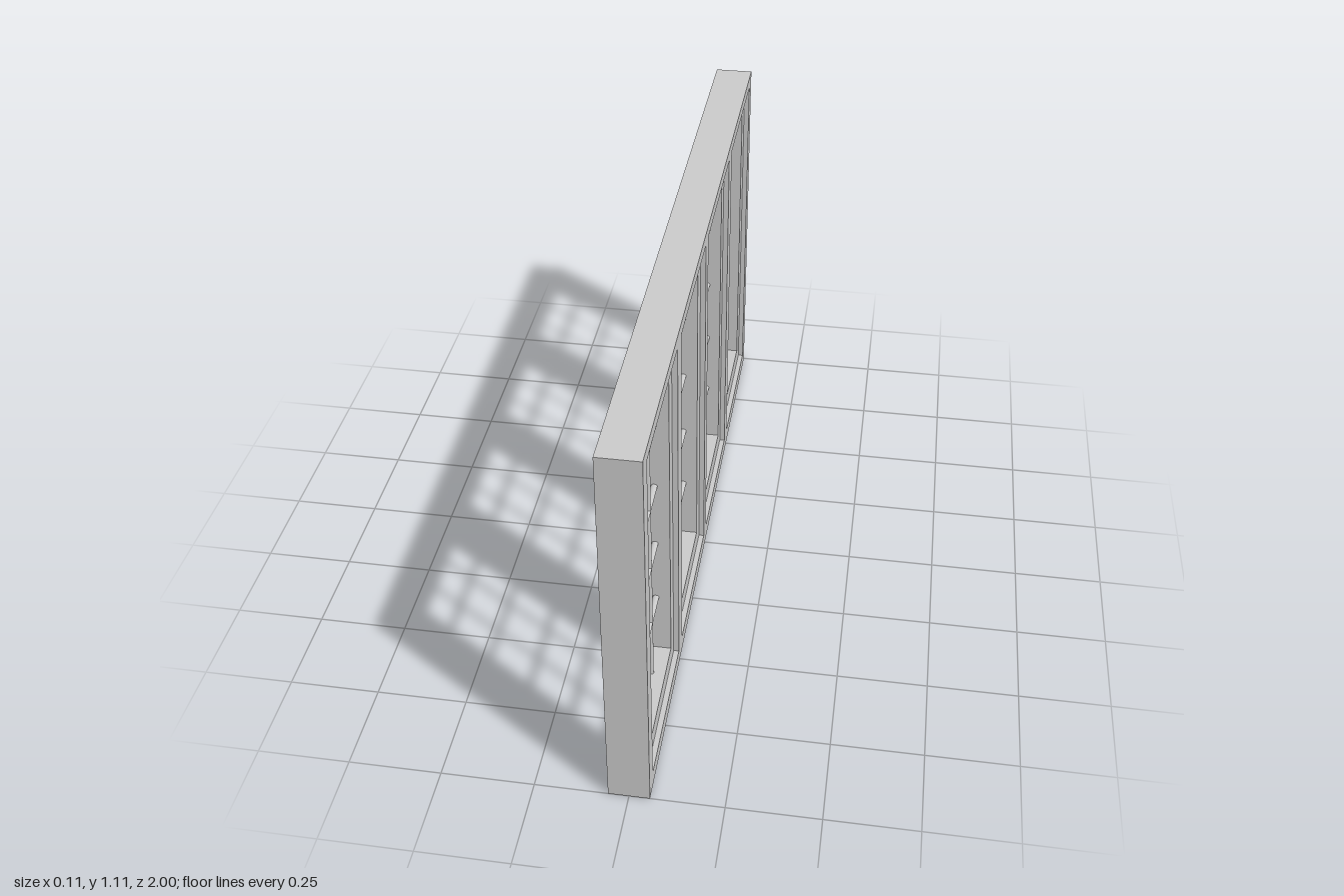
import * as THREE from 'three';

const material = new THREE.MeshStandardMaterial({ color: 0xcccccc });

function rectPath(target, [z0, z1], [y0, y1]) {
  target.moveTo(z0, y0);
  target.lineTo(z1, y0);
  target.lineTo(z1, y1);
  target.lineTo(z0, y1);
  target.closePath();
  return target;
}

// Rectangular slab in the z-y plane with one or more rectangular openings, centred on x = 0
function openSlab(name, zSpan, ySpan, holes, depth) {
  const shape = rectPath(new THREE.Shape(), zSpan, ySpan);
  for (const [hz, hy] of holes) shape.holes.push(rectPath(new THREE.Path(), hz, hy));
  const geometry = new THREE.ExtrudeGeometry(shape, { depth, bevelEnabled: false });
  geometry.translate(0, 0, -depth / 2).rotateY(-Math.PI / 2);
  const mesh = new THREE.Mesh(geometry, material);
  mesh.name = name;
  return mesh;
}

// Slim oval rod, deeper through the window than it is wide
function rod(name, length, width, depth, horizontal) {
  const geometry = new THREE.CylinderGeometry(0.5, 0.5, length, 16);
  geometry.scale(depth, 1, width);
  if (horizontal) geometry.rotateX(Math.PI / 2);
  const mesh = new THREE.Mesh(geometry, material);
  mesh.name = name;
  return mesh;
}

export function createModel() {
  const model = new THREE.Group();
  model.name = 'window';

  const frameDepth = 0.11, sashDepth = 0.08;
  const sashY = [0.046, 1.076], glassY = [0.1, 1.064];

  // Two panes on the +z side, mirrored to the -z side
  const half = [
    { sash: [0.515, 0.952], glass: [0.56, 0.9], bars: [0.659, 0.776] },
    { sash: [0.022, 0.457], glass: [0.072, 0.411], bars: [0.182, 0.3] },
  ];
  const flip = ([a, b]) => [-b, -a];
  const panes = half.concat(half.map((p) => (
    { sash: flip(p.sash), glass: flip(p.glass), bars: flip(p.bars) })));

  // Outer frame with mullions
  model.add(openSlab('frame', [-1, 1], [0, 1.11], panes.map((p) => [p.sash, sashY]), frameDepth));

  panes.forEach((p, i) => {
    const pane = new THREE.Group();
    pane.name = `pane${i + 1}`;

    // Recessed sash
    pane.add(openSlab('sash', p.sash, sashY, [[p.glass, glassY]], sashDepth));

    // Upright bars
    for (const z of p.bars) {
      const bar = rod('uprightBar', glassY[1] - glassY[0] + 0.01, 0.011, 0.017, false);
      bar.position.set(0, (glassY[0] + glassY[1]) / 2, z);
      pane.add(bar);
    }

    // Cross bars
    for (const y of [0.289, 0.482, 0.676, 0.871]) {
      const bar = rod('crossBar', p.glass[1] - p.glass[0] + 0.01, 0.012, 0.017, true);
      bar.position.set(0, y, (p.glass[0] + p.glass[1]) / 2);
      pane.add(bar);
    }
    model.add(pane);
  });

  return model;
}
